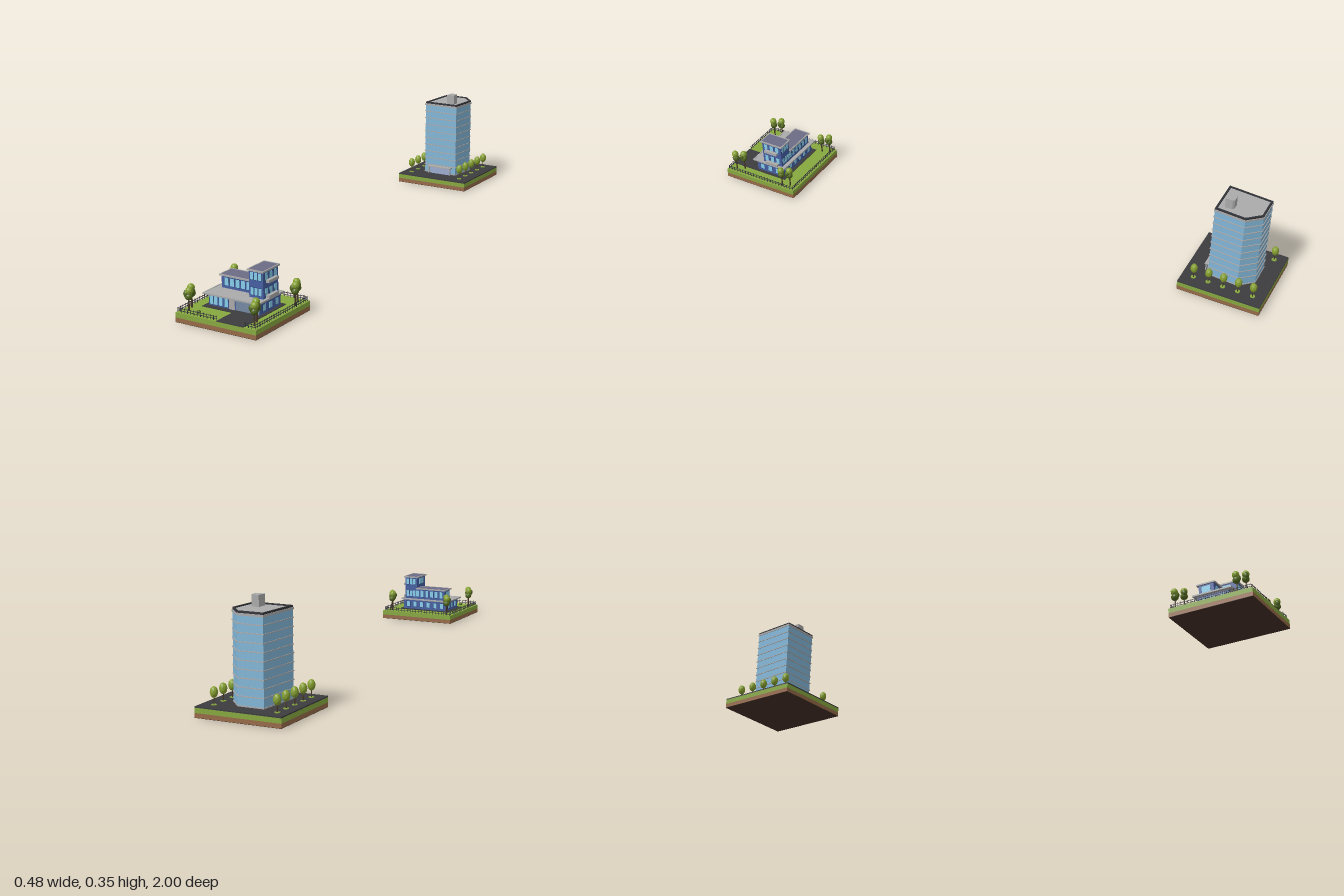
import * as THREE from 'three';

const mat = (color) => new THREE.MeshStandardMaterial({ color, flatShading: true });
const M = {
  soil: mat(0x453025), earth: mat(0x966a48), grass: mat(0x86a840), asphalt: mat(0x3c3c40),
  grey: mat(0xaaaaaa), dark: mat(0x33343a), glass: mat(0x82b6d8), entry: mat(0x9bacd0),
  wall: mat(0x465fa3), roof: mat(0x6b6b85), pane: mat(0x87cdea), frame: mat(0x2f4379),
  shutter: mat(0x7487a0), leaf: mat(0x86a030), leafDark: mat(0x52681f), trunk: mat(0x4a3a28),
};

function add(parent, name, geometry, material, x = 0, y = 0, z = 0) {
  const mesh = new THREE.Mesh(geometry, material);
  mesh.name = name;
  mesh.position.set(x, y, z);
  parent.add(mesh);
  return mesh;
}

// Box given by its limits on each axis
function box(parent, name, m, x0, x1, y0, y1, z0, z1) {
  return add(parent, name, new THREE.BoxGeometry(x1 - x0, y1 - y0, z1 - z0), m,
    (x0 + x1) / 2, (y0 + y1) / 2, (z0 + z1) / 2);
}

// Upright prism over a plan outline of [x, z] points, scaled about a centre
function prism(parent, name, m, outline, y0, y1, scale = 1, hole = 0) {
  const cx = -0.094, cz = -0.866;
  const points = (s) => outline.map(([x, z]) =>
    new THREE.Vector2(cx + (x - cx) * s, -(cz + (z - cz) * s)));
  const shape = new THREE.Shape(points(scale));
  if (hole) shape.holes.push(new THREE.Path(points(hole)));
  const g = new THREE.ExtrudeGeometry(shape, { depth: y1 - y0, bevelEnabled: false });
  g.rotateX(-Math.PI / 2);
  return add(parent, name, g, m, 0, y0, 0);
}

function plot(parent, cx, cz, top) {
  const h = 0.1455;
  const layer = (name, m, y0, y1) => box(parent, name, m, cx - h, cx + h, y0, y1, cz - h, cz + h);
  layer('plotUnderside', M.soil, 0, 0.001);
  layer('plotEarth', M.earth, 0.001, 0.015);
  layer('plotGrass', M.grass, 0.015, 0.031);
  if (top) layer('plotPaving', top, 0.031, 0.035);
}

function crown(parent, m, x, y, z, rx, ry) {
  const c = add(parent, 'treeCrown', new THREE.IcosahedronGeometry(1, 1), m, x, y, z);
  c.scale.set(rx, ry, rx);
}

function tower(root) {
  const g = new THREE.Group();
  g.name = 'officeTower';
  root.add(g);
  plot(g, -0.0975, -0.8545, M.asphalt);
  const outline = [[-0.167, -0.787], [-0.032, -0.787], [-0.023, -0.895], [-0.066, -0.943], [-0.154, -0.943]];
  prism(g, 'towerGlass', M.glass, outline, 0.035, 0.312);
  prism(g, 'towerPlinth', M.grey, outline, 0.035, 0.039, 1.02);
  // Floor ledges
  for (let i = 0; i < 9; i++) {
    const y = 0.067 + i * 0.027;
    prism(g, 'floorLedge', M.grey, outline, y - 0.0015, y + 0.0015, 1.03);
  }
  prism(g, 'roofCornice', M.grey, outline, 0.307, 0.314, 1.03);
  prism(g, 'roofParapet', M.dark, outline, 0.314, 0.32, 1.0, 0.92);
  prism(g, 'roofDeck', M.grey, outline, 0.314, 0.316, 0.93);
  // Roof plant room
  const plant = [[-0.086, -0.812], [-0.055, -0.812], [-0.055, -0.837], [-0.06, -0.843], [-0.083, -0.843]];
  prism(g, 'plantRoom', M.grey, plant, 0.315, 0.352);
  // Entrance
  box(g, 'entranceGlass', M.entry, -0.138, -0.052, 0.035, 0.061, -0.79, -0.777);
  box(g, 'entranceCanopy', M.grey, -0.147, -0.047, 0.061, 0.065, -0.79, -0.768);
  for (const x of [-0.145, -0.052]) box(g, 'entrancePost', M.grey, x, x + 0.004, 0.035, 0.062, -0.775, -0.771);
  // Street trees in two rows
  for (const x of [-0.208, 0.005]) {
    for (let i = 0; i < 5; i++) {
      const z = -0.96 + i * 0.0525;
      add(g, 'treeBed', new THREE.CylinderGeometry(0.009, 0.009, 0.002, 8), M.grass, x, 0.036, z);
      add(g, 'treeTrunk', new THREE.CylinderGeometry(0.0012, 0.002, 0.028, 6), M.trunk, x, 0.049, z);
      crown(g, M.leaf, x, 0.074, z, 0.0125, 0.018);
    }
  }
}

// Window with a frame, on a face along x or z
function windowPane(parent, axis, u, face, y0, y1, w, m = M.pane) {
  for (const [name, mm, grow, d] of [['windowFrame', M.frame, 0.0013, 0.0008], ['windowPane', m, 0, 0.0014]]) {
    const a = [u - w / 2 - grow, u + w / 2 + grow], b = [face - d, face + d];
    const [x, z] = axis === 'x' ? [a, b] : [b, a];
    box(parent, name, mm, x[0], x[1], y0 - grow, y1 + grow, z[0], z[1]);
  }
}

// Flat roof with raised rim
function flatRoof(parent, x0, x1, y, z0, z1, top) {
  const r = 0.004;
  box(parent, 'roofSlab', top, x0 + 0.001, x1 - 0.001, y, y + 0.004, z0 + 0.001, z1 - 0.001);
  box(parent, 'roofRim', M.grey, x0, x1, y, y + 0.005, z0, z0 + r);
  box(parent, 'roofRim', M.grey, x0, x1, y, y + 0.005, z1 - r, z1);
  box(parent, 'roofRim', M.grey, x0, x0 + r, y, y + 0.005, z0 + r, z1 - r);
  box(parent, 'roofRim', M.grey, x1 - r, x1, y, y + 0.005, z0 + r, z1 - r);
}

function fence(parent, x0, z0, x1, z1) {
  const n = Math.max(2, Math.round(Math.hypot(x1 - x0, z1 - z0) / 0.012)), t = 0.0007;
  for (let i = 0; i <= n; i++) {
    const x = x0 + (x1 - x0) * i / n, z = z0 + (z1 - z0) * i / n;
    box(parent, 'fencePost', M.dark, x - t, x + t, 0.031, 0.047, z - t, z + t);
  }
  for (const y of [0.036, 0.043]) {
    box(parent, 'fenceRail', M.dark, Math.min(x0, x1) - t, Math.max(x0, x1) + t, y, y + 0.0015,
      Math.min(z0, z1) - t, Math.max(z0, z1) + t);
  }
}

function house(root) {
  const g = new THREE.Group();
  g.name = 'house';
  root.add(g);
  plot(g, 0.0955, 0.8545);
  box(g, 'housePaving', M.asphalt, -0.012, 0.197, 0.031, 0.033, 0.775, 0.918);
  box(g, 'driveway', M.asphalt, 0.1, 0.197, 0.031, 0.033, 0.918, 1.0);
  // Ground floor, upper floor and stair block
  box(g, 'groundFloor', M.wall, 0.0, 0.186, 0.033, 0.07, 0.788, 0.898);
  flatRoof(g, -0.012, 0.192, 0.07, 0.777, 0.914, M.grey);
  box(g, 'upperFloor', M.wall, 0.01, 0.132, 0.074, 0.113, 0.792, 0.845);
  flatRoof(g, 0.005, 0.131, 0.113, 0.786, 0.851, M.roof);
  box(g, 'stairBlock', M.wall, 0.13, 0.181, 0.074, 0.158, 0.792, 0.872);
  flatRoof(g, 0.126, 0.185, 0.158, 0.786, 0.878, M.roof);
  // Upper windows, front and back
  for (let i = 0; i < 6; i++) {
    const x = 0.028 + i * 0.0205;
    if (i < 5) windowPane(g, 'x', x, 0.845, 0.083, 0.108, 0.0145);
    windowPane(g, 'x', x - 0.003, 0.792, 0.083, 0.108, 0.0125);
  }
  windowPane(g, 'z', 0.818, 0.01, 0.083, 0.108, 0.03);
  for (const y of [0.083, 0.131]) {
    for (const x of [0.141, 0.1555, 0.17]) {
      windowPane(g, 'x', x, 0.872, y, y + 0.023, 0.011);
      windowPane(g, 'x', x, 0.792, y, y + 0.023, 0.011);
    }
    for (const z of [0.808, 0.832, 0.856]) windowPane(g, 'z', z, 0.181, y, y + 0.023, 0.014);
    if (y > 0.1) windowPane(g, 'z', 0.832, 0.13, y, y + 0.023, 0.04);
    // Side balconies
    box(g, 'balcony', M.grey, 0.181, 0.193, y - 0.008, y + 0.001, 0.806, 0.858);
  }
  // Ground floor windows, door and garage
  for (const x of [0.01, 0.026, 0.044, 0.064]) windowPane(g, 'x', x, 0.898, 0.037, 0.064, 0.0125);
  box(g, 'frontDoor', M.grey, 0.075, 0.096, 0.033, 0.066, 0.896, 0.9);
  for (let i = 0; i < 5; i++) {
    const y = 0.034 + i * 0.0066;
    box(g, 'garagePanel', M.shutter, 0.1, 0.184, y, y + 0.0058, 0.896, 0.9);
  }
  for (let i = 0; i < 6; i++) windowPane(g, 'x', 0.02 + i * 0.029, 0.788, 0.042, 0.062, 0.013);
  for (const z of [0.81, 0.843, 0.876]) for (const x of [0, 0.186]) windowPane(g, 'z', z, x, 0.042, 0.062, 0.016);
  // Boundary fence with a driveway gap
  const a = -0.045, b = 0.235, c = 0.715, d = 0.994;
  fence(g, a, c, b, c);
  fence(g, a, c, a, d);
  fence(g, b, c, b, d);
  fence(g, a, d, 0.098, d);
  fence(g, 0.199, d, b, d);
  // Paired garden trees in the corners
  for (const [x, z] of [[-0.022, 0.738], [0.219, 0.752], [-0.027, 0.955], [0.212, 0.958]]) {
    for (const s of [-1, 1]) {
      const tx = x + s * 0.005, tz = z + s * 0.014;
      add(g, 'treeTrunk', new THREE.CylinderGeometry(0.002, 0.003, 0.04, 6), M.trunk, tx, 0.051, tz);
      crown(g, M.leafDark, tx, 0.077, tz, 0.0125, 0.012);
      crown(g, M.leaf, tx + s * 0.002, 0.095, tz, 0.012, 0.013);
      crown(g, M.leafDark, tx - s * 0.006, 0.086, tz + 0.004, 0.009, 0.012);
    }
  }
  crown(g, M.leafDark, 0.012, 0.034, 0.967, 0.007, 0.005);
}

export function createModel() {
  const root = new THREE.Group();
  root.name = 'cityPlots';
  tower(root);
  house(root);
  return root;
}
